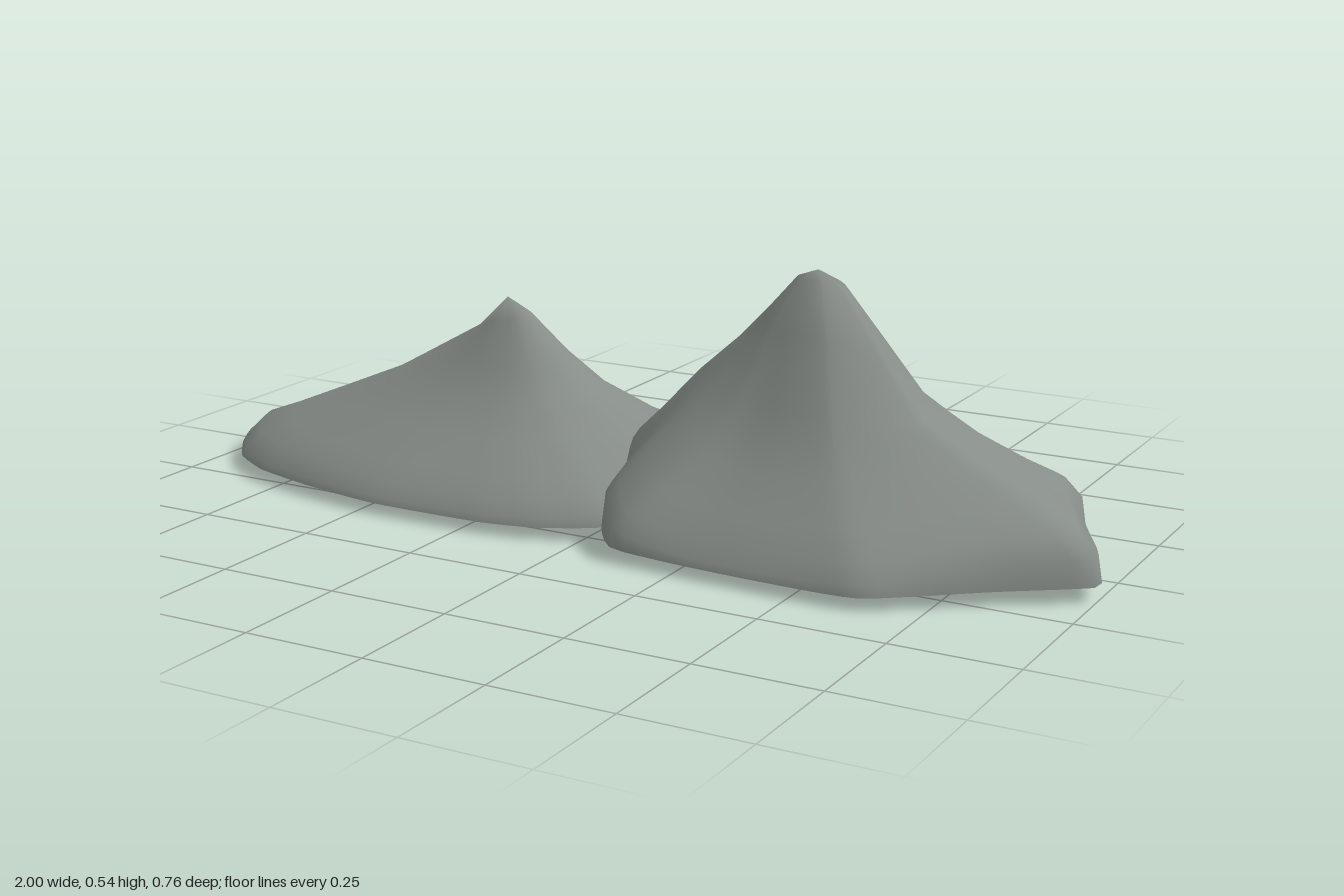
import * as THREE from 'three';

const SEGMENTS = 80;
// Distance from the peak (0) to the rim (1) for each height in a slope profile
const STEPS = [0, 0.1, 0.25, 0.4, 0.6, 0.8, 0.92, 0.985, 1];

// Footprints as [x, z], running left, back, right, front.
// Each slope has its length from the peak and its heights at the steps.
const smallHill = {
  name: 'smallHill',
  peak: [-0.345, -0.01],
  outline: [[-1, 0.04], [-0.97, -0.05], [-0.92, -0.1], [-0.83, -0.17], [-0.75, -0.22], [-0.6, -0.32],
    [-0.48, -0.36], [-0.35, -0.38], [-0.15, -0.36], [0.05, -0.33], [0.15, -0.27], [0.18, -0.1], [0.12, 0.1],
    [0.04, 0.25], [-0.08, 0.31], [-0.2, 0.33], [-0.46, 0.33], [-0.65, 0.3], [-0.8, 0.26], [-0.9, 0.2], [-0.97, 0.11]],
  slopes: {
    east: { length: 0.52, heights: [0.4, 0.37, 0.29, 0.22, 0.16, 0.12, 0.09, 0.06, 0.03] },
    west: { length: 0.655, heights: [0.4, 0.335, 0.28, 0.225, 0.17, 0.115, 0.085, 0.045, 0.028] },
    front: { length: 0.34, heights: [0.4, 0.355, 0.27, 0.205, 0.145, 0.095, 0.06, 0.035, 0.022] },
    back: { length: 0.37, heights: [0.4, 0.36, 0.28, 0.215, 0.15, 0.1, 0.07, 0.045, 0.03] },
  },
};
const tallHill = {
  name: 'tallHill',
  peak: [0.38, 0.012],
  outline: [[-0.04, 0.03], [-0.02, -0.04], [0.05, -0.15], [0.1, -0.23], [0.15, -0.27], [0.22, -0.34],
    [0.3, -0.38], [0.38, -0.36], [0.61, -0.375], [0.73, -0.31], [0.85, -0.24], [0.9, -0.1], [0.95, 0], [1.005, 0.12],
    [0.85, 0.23], [0.64, 0.375], [0.42, 0.375], [0.12, 0.355], [0.05, 0.28], [0.02, 0.22], [0.01, 0.12]],
  slopes: {
    east: { length: 0.61, heights: [0.535, 0.5, 0.385, 0.27, 0.21, 0.155, 0.125, 0.085, 0.03] },
    west: { length: 0.415, heights: [0.535, 0.52, 0.45, 0.385, 0.31, 0.22, 0.17, 0.13, 0.04] },
    front: { length: 0.363, heights: [0.535, 0.52, 0.425, 0.285, 0.178, 0.115, 0.065, 0.037, 0.022] },
    back: { length: 0.38, heights: [0.535, 0.515, 0.425, 0.33, 0.215, 0.15, 0.12, 0.08, 0.04] },
  },
};

// Joins neighbouring rings of points into a smooth surface
function skin(rings, flip) {
  const index = [];
  for (let i = 0; i < rings.length - 1; i++) {
    for (let j = 0; j < SEGMENTS; j++) {
      const k = (j + 1) % SEGMENTS;
      const a = i * SEGMENTS + j, b = i * SEGMENTS + k;
      const c = a + SEGMENTS, d = b + SEGMENTS;
      if (flip) index.push(a, c, b, b, c, d);
      else index.push(a, b, c, b, d, c);
    }
  }
  const geometry = new THREE.BufferGeometry();
  geometry.setAttribute('position', new THREE.Float32BufferAttribute(rings.flat(2), 3));
  geometry.setIndex(index);
  geometry.computeVertexNormals();
  // Every point of the first ring sits on the axis, so it shares one vertical normal
  for (let j = 0; j < SEGMENTS; j++) geometry.attributes.normal.setXYZ(j, 0, flip ? -1 : 1, 0);
  return geometry;
}

function makeHill({ name, peak, outline, slopes }, material) {
  const [px, pz] = peak;
  const points = outline.map(([x, z]) => new THREE.Vector3(x, 0, z));
  const curve = new THREE.CatmullRomCurve3(points, true, 'catmullrom', 0.2);

  // Spokes from the peak to the rim, each with its two neighbouring slope profiles
  const spokes = curve.getSpacedPoints(SEGMENTS).slice(0, SEGMENTS).map((p) => {
    const dx = p.x - px, dz = p.z - pz, reach = Math.hypot(dx, dz);
    const side = dx > 0 ? slopes.east : slopes.west;
    const depth = dz > 0 ? slopes.front : slopes.back;
    const round = 1 / Math.hypot(dx / reach / side.length, dz / reach / depth.length);
    return { dx, dz, side, depth, weight: Math.abs(dx / reach) ** 3, roundness: round / reach };
  });
  const heightAt = (s, i) => THREE.MathUtils.lerp(s.depth.heights[i], s.side.heights[i], s.weight);

  // Rings are oval near the peak and take on the footprint towards the rim
  const ring = (t, height) => spokes.map((s) => {
    const r = t * THREE.MathUtils.lerp(s.roundness, 1, t);
    return [px + s.dx * r, height(s), pz + s.dz * r];
  });

  // Slopes down to the rim
  const slopeRings = STEPS.map((t, i) => ring(t, (s) => heightAt(s, i)));
  const slope = new THREE.Mesh(skin(slopeRings, false), material);
  slope.name = name + 'Slopes';

  // Underside, curling up to meet the rim
  const rim = slopeRings[slopeRings.length - 1];
  const baseRings = [ring(0, () => 0), ring(0.5, () => 0.004), ring(0.86, () => 0.01), rim];
  const base = new THREE.Mesh(skin(baseRings, true), material);
  base.name = name + 'Underside';

  const hill = new THREE.Group();
  hill.name = name;
  hill.add(slope, base);
  return hill;
}

export function createModel() {
  const stone = new THREE.MeshStandardMaterial({ color: 0x868c87 });
  stone.name = 'grey stone';
  const model = new THREE.Group();
  model.name = 'twinHills';
  model.add(makeHill(smallHill, stone), makeHill(tallHill, stone));
  return model;
}
